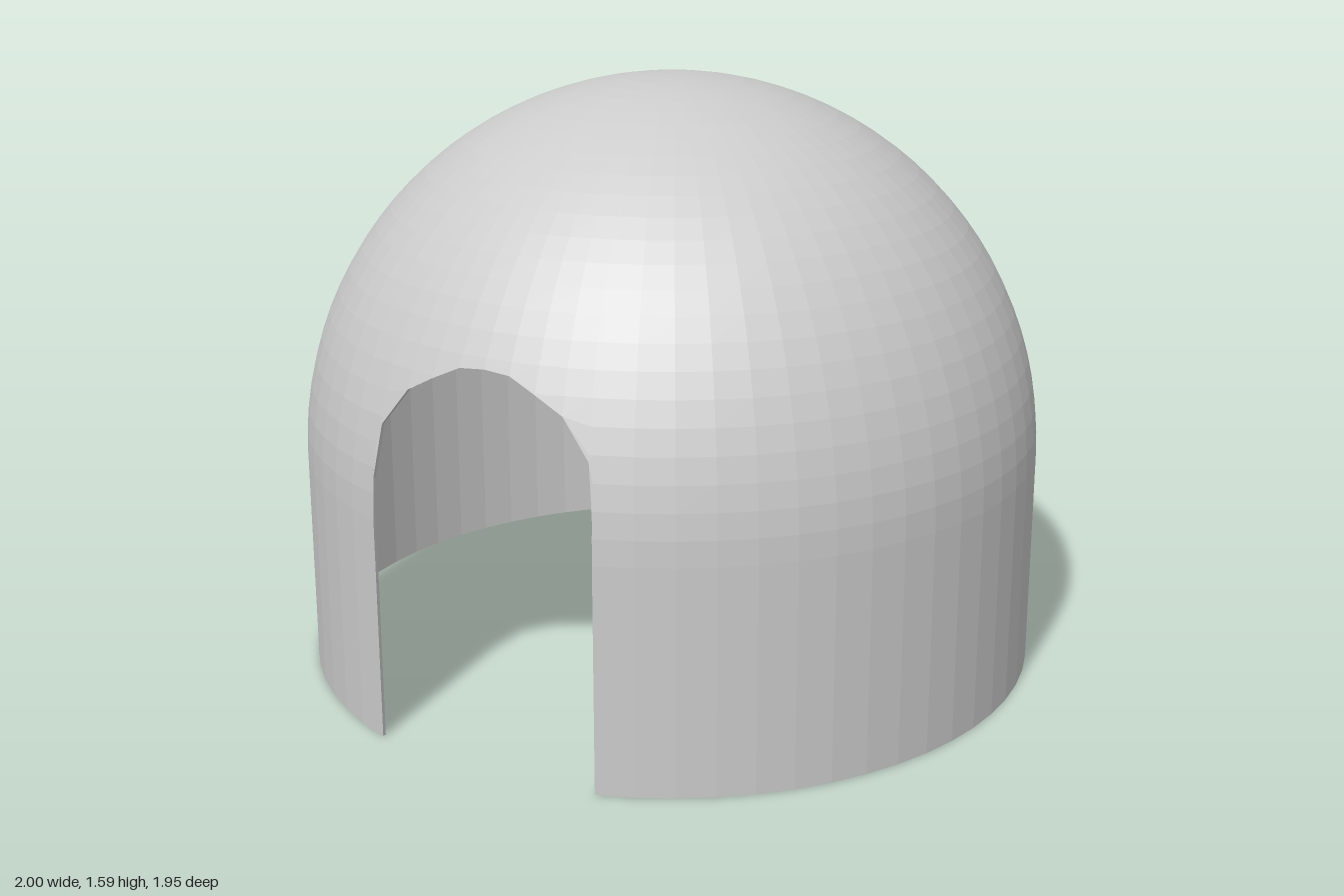
import * as THREE from 'three';

const WALL = 0.59;        // height where the straight wall turns into the dome
const CENTRE_Z = -0.025 + 0.05;
const OUTER = 1, INNER = 0.99;
const SIDES = 58, RINGS = 24;

// half of the doorway arch, from the springing to the crown (x, y)
const HALF_ARCH = [[0.3125, 0.695], [0.294, 0.832], [0.219, 0.928], [0.144, 0.968], [0.07, 1.002], [0, 1.008]];
const ARCH = [
  ...HALF_ARCH.map(([x, y]) => [-x, y]),
  ...HALF_ARCH.slice(0, -1).reverse(),
];

const radiusAt = (y, R) => y <= WALL ? R : Math.sqrt(Math.max(0, R * R - (y - WALL) ** 2));

function point(a, y, R) {
  const r = radiusAt(y, R);
  return new THREE.Vector3(r * Math.sin(a), y, CENTRE_Z + r * Math.cos(a));
}

// meridians of a shell: full-height ones round the back, then those starting on the arch
function columns(R) {
  const [x0, y0] = HALF_ARCH[0];
  const a0 = Math.asin(x0 / radiusAt(y0, R));
  const full = [];
  for (let i = 0; i <= SIDES; i++) {
    full.push({ a: a0 + (2 * Math.PI - 2 * a0) * i / SIDES, start: 0 });
  }
  const arch = ARCH.map(([x, y]) => ({ a: 2 * Math.PI + Math.asin(x / radiusAt(y, R)), start: y }));
  return { full, arch };
}

function addQuad(out, a, b, c, d) {
  for (const [p, q, r] of [[a, b, c], [a, c, d]]) {
    if (p.distanceTo(q) < 1e-6 || q.distanceTo(r) < 1e-6 || r.distanceTo(p) < 1e-6) continue;
    for (const v of [p, q, r]) out.push(v.x, v.y, v.z);
  }
}

function makeMesh(name, positions) {
  const g = new THREE.BufferGeometry();
  g.setAttribute('position', new THREE.Float32BufferAttribute(positions, 3));
  g.computeVertexNormals();
  const mesh = new THREE.Mesh(g, new THREE.MeshStandardMaterial({
    color: 0xcccccc, flatShading: true, side: THREE.DoubleSide,
  }));
  mesh.name = name;
  return mesh;
}

// wall and dome in one skin, rows clamped to the doorway arch
function shell(name, R, inward) {
  const rows = [0];
  for (let i = 0; i <= RINGS; i++) rows.push(WALL + R * Math.sin(i / RINGS * Math.PI / 2));
  const out = [];
  const { full, arch } = columns(R);
  for (const cols of [full, arch]) {
    for (let i = 0; i < cols.length - 1; i++) {
      const at = (c, j) => point(c.a, Math.max(rows[j], c.start), R);
      for (let j = 0; j < rows.length - 1; j++) {
        const q = [at(cols[i], j), at(cols[i + 1], j), at(cols[i + 1], j + 1), at(cols[i], j + 1)];
        if (inward) q.reverse();
        addQuad(out, ...q);
      }
    }
  }
  return makeMesh(name, out);
}

// open edge: round the foot, up one jamb, over the arch and down the other jamb
function edgePath(R) {
  const { full, arch } = columns(R);
  const a0 = full[0].a, a1 = full[SIDES].a;
  return [
    ...full.map(c => point(c.a, 0, R)),
    point(a1, WALL, R),
    ...arch.map(c => point(c.a, c.start, R)),
    point(a0, WALL, R),
    point(a0, 0, R),
  ];
}

export function createModel() {
  const group = new THREE.Group();
  group.name = 'domedShelter';
  group.add(shell('outerShell', OUTER, false), shell('innerShell', INNER, true));

  // thickness of the wall along the foot and the doorway
  const p = edgePath(OUTER), q = edgePath(INNER), rim = [];
  for (let i = 0; i < p.length - 1; i++) addQuad(rim, p[i], q[i], q[i + 1], p[i + 1]);
  group.add(makeMesh('footAndDoorwayRim', rim));
  return group;
}
